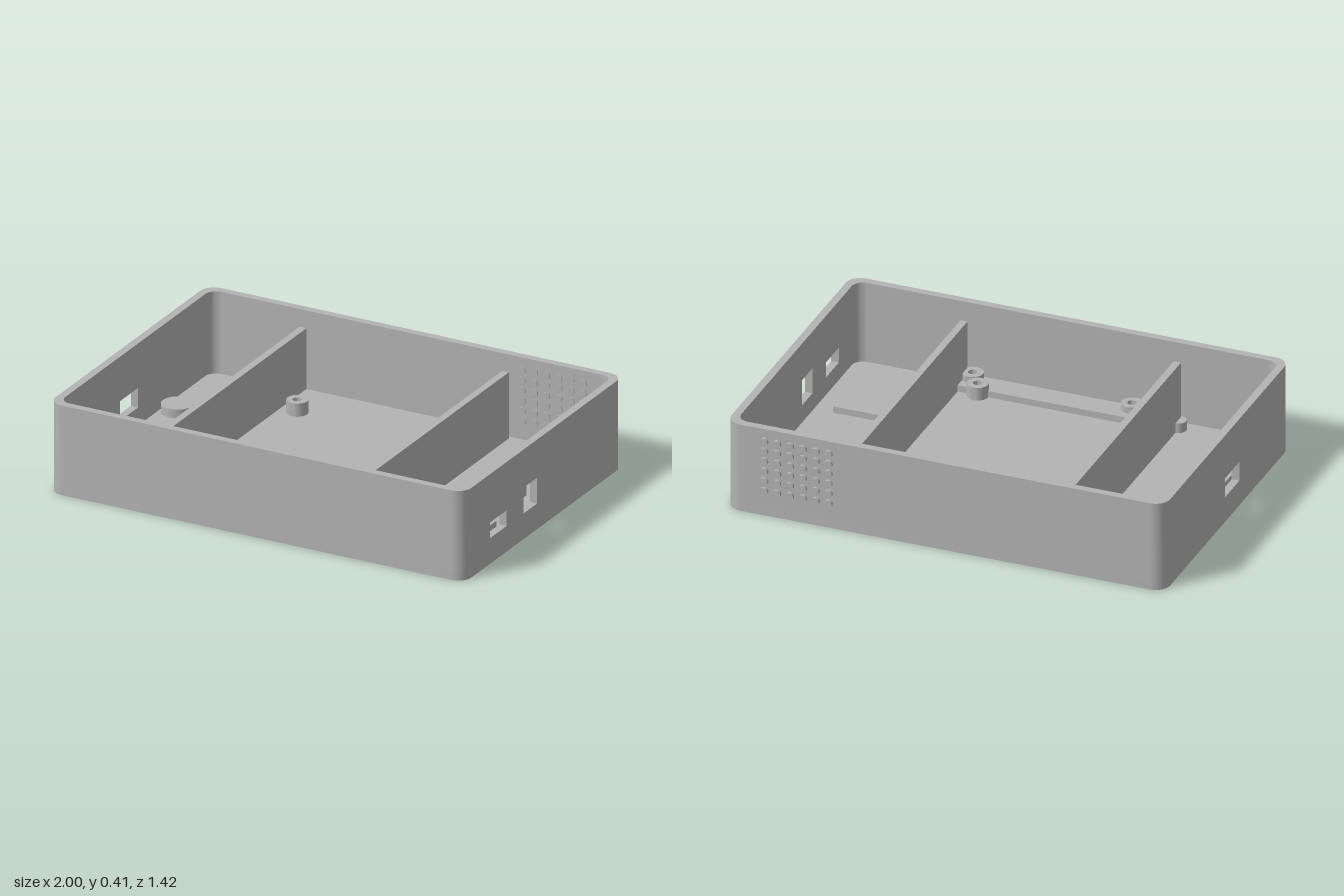
import * as THREE from 'three';
import { toCreasedNormals } from 'three/addons/utils/BufferGeometryUtils.js';

const W = 1, D = 0.705, H = 0.413;         // half width, half depth, height
const WALL = 0.035, FLOOR = 0.035, PLATE = 0.06;
const R_OUT = 0.065, R_IN = 0.05, CORNER = 0.09;

export function createModel() {
  const model = new THREE.Group();
  model.name = 'enclosure';
  const body = new THREE.Group();
  body.name = 'enclosureBody';
  body.position.z = 0.005;
  model.add(body);
  const grey = new THREE.MeshStandardMaterial({ color: 0xb3b3b3 });
  grey.name = 'grey plastic';

  function add(name, geometry, x = 0, y = 0, z = 0) {
    const mesh = new THREE.Mesh(geometry, grey);
    mesh.name = name;
    mesh.position.set(x, y, z);
    body.add(mesh);
    return mesh;
  }
  // Block given by its extents
  function block(name, x0, x1, y0, y1, z0, z1) {
    add(name, new THREE.BoxGeometry(x1 - x0, y1 - y0, z1 - z0),
      (x0 + x1) / 2, (y0 + y1) / 2, (z0 + z1) / 2);
  }
  // Extrude a plan shape upwards
  function rise(shape, height) {
    const g = new THREE.ExtrudeGeometry(shape, { depth: height, bevelEnabled: false, curveSegments: 16 });
    return toCreasedNormals(g.rotateX(-Math.PI / 2), 0.6);
  }
  function disc(name, x, z, r, y0, y1) {
    add(name, new THREE.CylinderGeometry(r, r, y1 - y0, 40), x, (y0 + y1) / 2, z);
  }
  function rect(x0, x1, y0, y1, Kind = THREE.Path) {
    return new Kind([[x0, y0], [x1, y0], [x1, y1], [x0, y1]].map(p => new THREE.Vector2(...p)));
  }

  // Floor with rounded corners
  const base = new THREE.Shape();
  base.absarc(W - R_OUT, D - R_OUT, R_OUT, 0, Math.PI / 2);
  base.absarc(R_OUT - W, D - R_OUT, R_OUT, Math.PI / 2, Math.PI);
  base.absarc(R_OUT - W, R_OUT - D, R_OUT, Math.PI, Math.PI * 1.5);
  base.absarc(W - R_OUT, R_OUT - D, R_OUT, Math.PI * 1.5, Math.PI * 2);
  base.closePath();
  add('floor', rise(base, FLOOR));

  // Rounded corner posts of the wall
  for (const sx of [-1, 1]) for (const sz of [-1, 1]) {
    const pts = [[CORNER, 0]];
    const steps = 10;
    for (let i = 0; i <= steps; i++) {
      const a = i / steps * Math.PI / 2;
      pts.push([R_OUT * (1 - Math.sin(a)), R_OUT * (1 - Math.cos(a))]);
    }
    pts.push([0, CORNER], [WALL, CORNER]);
    for (let i = steps; i >= 0; i--) {
      const a = i / steps * Math.PI / 2;
      pts.push([WALL + R_IN * (1 - Math.sin(a)), WALL + R_IN * (1 - Math.cos(a))]);
    }
    pts.push([CORNER, WALL]);
    const shape = new THREE.Shape(pts.map(([u, v]) => new THREE.Vector2(sx * (W - u), sz * (D - v))));
    add('wallCorner', rise(shape, H - FLOOR), 0, FLOOR, 0);
  }

  // Front and back walls
  block('frontWall', CORNER - W, W - CORNER, FLOOR, H, D - WALL, D);
  block('backWall', CORNER - W, W - CORNER, FLOOR, H, -D, WALL - D);

  // Side walls with port openings [z0, z1, y0, y1]
  function sideWall(name, outerX, ports) {
    const shape = rect(CORNER - D, D - CORNER, FLOOR, H, THREE.Shape);
    ports.forEach(p => shape.holes.push(rect(...p)));
    const g = new THREE.ExtrudeGeometry(shape, { depth: WALL, bevelEnabled: false });
    add(name, g.rotateY(-Math.PI / 2), outerX);
  }
  sideWall('leftWall', W, [[0.06, 0.18, 0.118, 0.237], [0.33, 0.475, 0.118, 0.19]]);
  sideWall('rightWall', WALL - W, [[-0.025, 0.135, 0.118, 0.208]]);

  // Vent studs through the back wall
  for (let col = 0; col < 6; col++) for (let row = 0; row < 6; row++) {
    const g = new THREE.CylinderGeometry(0.018, 0.018, 0.053, 16).rotateX(Math.PI / 2);
    add('ventStud', g, 0.53 + col * 0.0587, 0.119 + row * 0.0472, -0.6915);
  }

  // Centre plate and dividers
  block('centrePlate', -0.497, 0.444, FLOOR, PLATE, -0.652, 0.637);
  block('dividerRight', -0.53, -0.497, FLOOR, 0.34, -0.652, 0.637);
  block('dividerLeft', 0.444, 0.476, FLOOR, 0.34, -0.652, 0.637);
  block('frontStrip', -0.352, 0.444, PLATE, 0.09, 0.525, 0.637);

  // Hollow screw posts
  const posts = [[-0.413, -0.417], [0.352, -0.417], [-0.413, 0.525], [0.352, 0.525], [-0.318, 0.608], [0.408, 0.608]];
  for (const [x, z] of posts) {
    const ring = new THREE.Shape().absarc(0, 0, 0.047, 0, Math.PI * 2);
    ring.holes.push(new THREE.Path().absarc(0, 0, 0.02, 0, Math.PI * 2));
    add('screwPost', rise(ring, 0.12 - FLOOR), x, FLOOR, z);
  }
  for (const x of [-0.53, 0.527]) disc('smallBoss', x, 0.608, 0.035, FLOOR, 0.08);

  // Component pads on both sides
  block('longPad', -0.91, -0.583, FLOOR, 0.06, -0.12, 0.52);
  for (const x of [-0.861, -0.674]) disc('roundPad', x, -0.18, 0.07, FLOOR, 0.1);
  block('widePad', 0.551, 0.878, FLOOR, 0.065, 0.195, 0.52);
  block('smallPad', 0.599, 0.829, FLOOR, 0.11, -0.158, 0.053);
  disc('largeRoundPad', 0.703, -0.357, 0.105, FLOOR, 0.06);

  return model;
}
